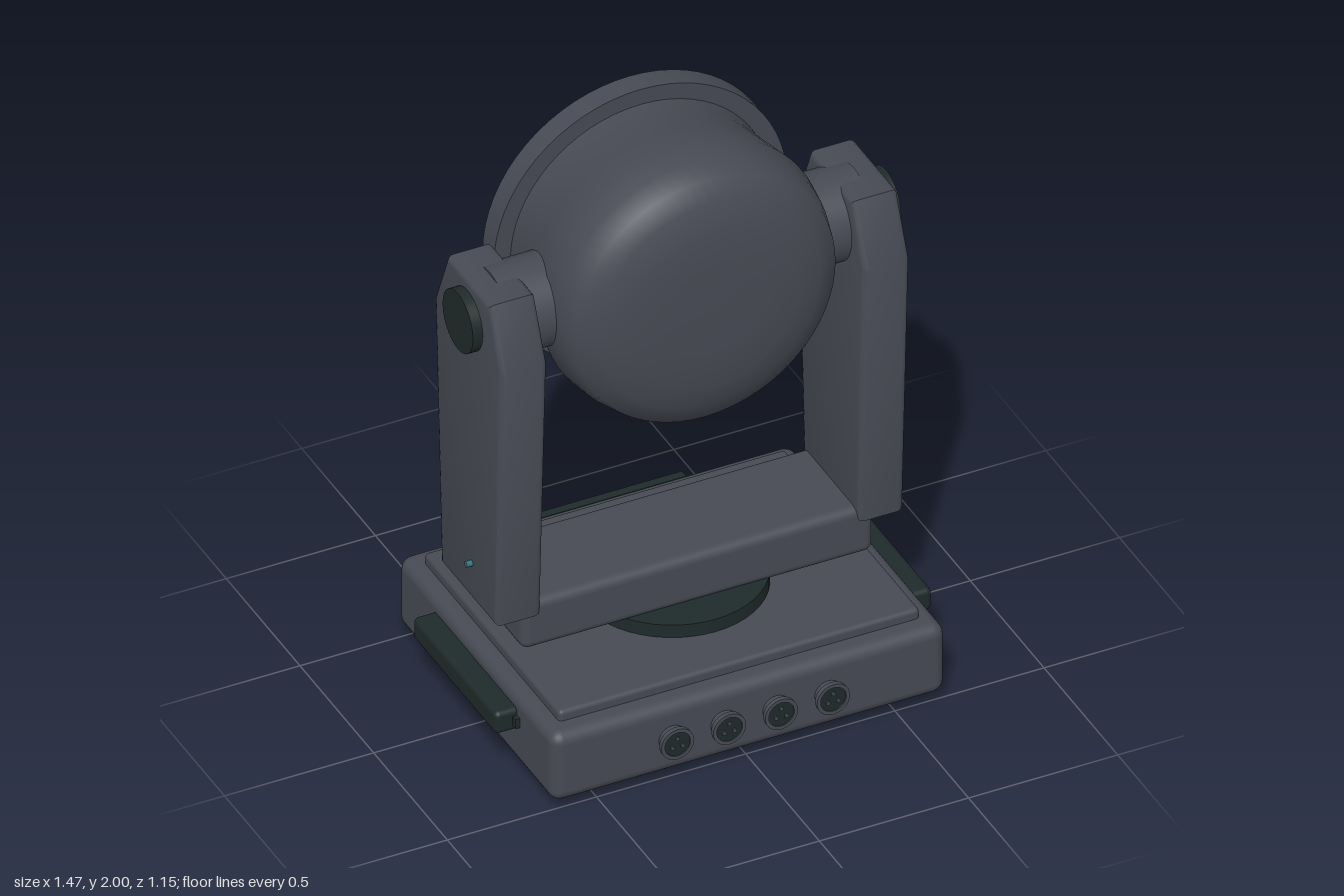
import * as THREE from 'three';
import { toCreasedNormals } from 'three/addons/utils/BufferGeometryUtils.js';
import { RoundedBoxGeometry } from 'three/addons/geometries/RoundedBoxGeometry.js';

const mat = (name, color) => {
  const m = new THREE.MeshStandardMaterial({ color });
  m.name = name;
  return m;
};

export function createModel() {
  const grey = mat('housing grey', 0x474a54);
  const faceGrey = mat('lamp face grey', 0x3b3c41);
  const black = mat('dark rubber', 0x1f2a2a);
  const teal = mat('lens teal', 0x33727f);

  const root = new THREE.Group();
  root.name = 'movingHeadLight';

  const add = (name, geo, material, x = 0, y = 0, z = 0, parent = root) => {
    const m = new THREE.Mesh(geo, material);
    m.name = name;
    m.position.set(x, y, z);
    parent.add(m);
    return m;
  };
  const rbox = (w, h, d, r) => new RoundedBoxGeometry(w, h, d, 3, r);
  const cyl = (r, h, seg = 32, r2 = r) => new THREE.CylinderGeometry(r, r2, h, seg);
  // discs and drums facing along x or z
  const cylX = (r, h, seg) => cyl(r, h, seg).rotateZ(Math.PI / 2);
  const cylZ = (r, h, seg, r2) => cyl(r, h, seg, r2).rotateX(Math.PI / 2);
  // turned profile about the z axis, points given as [radius, z]
  const latheZ = (pts, seg = 64) =>
    new THREE.LatheGeometry(pts.map(p => new THREE.Vector2(...p)), seg).rotateX(Math.PI / 2);

  // Base with raised top plate and feet
  add('base', rbox(1.32, 0.25, 1.06, 0.04), grey, 0, 0.16, 0);
  add('baseTopPlate', rbox(1.21, 0.07, 0.92, 0.015), grey, 0, 0.285, 0);
  for (const x of [-0.5, 0.5]) for (const z of [-0.37, 0.37])
    add('foot', cyl(0.062, 0.04, 24), black, x, 0.02, z);

  // Front sockets, each with three pins
  for (let i = 0; i < 4; i++) {
    const socket = new THREE.Group();
    socket.name = 'socket';
    socket.position.set(-0.261 + i * 0.174, 0.162, 0);
    root.add(socket);
    add('socketBarrel', cylZ(0.045, 0.04, 24), grey, 0, 0, 0.54, socket);
    const rim = latheZ([[0.04, 0.553], [0.055, 0.553], [0.055, 0.568], [0.043, 0.568], [0.043, 0.558]], 28);
    add('socketRim', toCreasedNormals(rim, 0.6), grey, 0, 0, 0, socket);
    add('socketInsert', cylZ(0.043, 0.004, 24), black, 0, 0, 0.562, socket);
    for (let k = 0; k < 3; k++) {
      const a = Math.PI / 2 + k * Math.PI * 2 / 3;
      add('socketPin', cylZ(0.007, 0.006, 8), grey, 0.02 * Math.cos(a), 0.02 * Math.sin(a), 0.566, socket);
    }
  }

  // Rear control panel with screen and buttons
  add('controlPanel', new THREE.BoxGeometry(0.62, 0.195, 0.03), black, 0, 0.168, -0.545);
  add('screen', new THREE.BoxGeometry(0.26, 0.125, 0.018), teal, -0.1, 0.168, -0.567);
  for (let i = 0; i < 4; i++)
    add('button', cylZ(0.017, 0.02, 16), grey, 0.086 + i * 0.049, 0.168, -0.567);

  // Turntable and yoke crossbar
  add('turntable', cyl(0.295, 0.05, 48), black, 0, 0.341, 0);
  add('yokeCrossbar', rbox(1.18, 0.175, 0.36, 0.03), grey, 0, 0.443, 0);

  // Yoke arm side profile, widening upward with a chamfered top
  const arm = new THREE.Shape([
    [-0.188, 0.485], [0.188, 0.485], [0.231, 1.44], [0.145, 1.645], [-0.145, 1.645], [-0.231, 1.44],
  ].map(p => new THREE.Vector2(...p)));
  const bevel = 0.02;
  const armGeo = toCreasedNormals(new THREE.ExtrudeGeometry(arm, {
    depth: 0.155 - 2 * bevel, bevelEnabled: true, bevelThickness: bevel,
    bevelSize: bevel, bevelOffset: -bevel, bevelSegments: 3,
  }).translate(0, 0, bevel).rotateY(Math.PI / 2), 0.6);

  for (const s of [-1, 1]) {
    const side = s > 0 ? 'left' : 'right';
    add(side + 'YokeArm', armGeo, grey, s > 0 ? 0.53 : -0.685, 0, 0);
    add(side + 'PivotHub', cylX(0.147, 0.23, 40), grey, s * 0.495, 1.506, 0);
    add(side + 'PivotCap', cylX(0.103, 0.04, 40), black, s * 0.698, 1.508, 0);
    add(side + 'Indicator', cylX(0.01, 0.025, 12), teal, s * 0.692, 0.62, 0.027);
    add(side + 'Handle', rbox(0.085, 0.08, 0.565, 0.018), black, s * 0.69, 0.2, 0.003);
    add(side + 'HandleTab', new THREE.BoxGeometry(0.03, 0.034, 0.03), black, s * 0.66, 0.198, 0.29);
  }

  // Lamp head
  const head = new THREE.Group();
  head.name = 'lampHead';
  head.position.y = 1.508;
  root.add(head);
  add('headShell', latheZ([
    [0.437, -0.22], [0.434, -0.15], [0.452, -0.04], [0.472, 0.07], [0.46, 0.15],
    [0.437, 0.225], [0.37, 0.258], [0.28, 0.288], [0.15, 0.293], [0, 0.295],
  ]), grey, 0, 0, 0, head);
  add('headRing', toCreasedNormals(latheZ([
    [0.42, -0.29], [0.42, -0.303], [0.442, -0.303], [0.442, -0.29],
    [0.492, -0.29], [0.492, -0.213], [0.43, -0.213],
  ]), 0.6), grey, 0, 0, 0, head);
  add('lampFace', cylZ(0.425, 0.02, 64), faceGrey, 0, 0, -0.285, head);

  // Twelve lenses: an inner three and an outer nine
  const lensRing = (count, radius, start) => {
    for (let i = 0; i < count; i++) {
      const a = start + i * Math.PI * 2 / count;
      const x = radius * Math.cos(a), y = radius * Math.sin(a);
      add('lensBezel', cylZ(0.105, 0.012, 32), black, x, y, -0.346, head);
      add('lens', cylZ(0.098, 0.024, 32, 0.094), teal, x, y, -0.363, head);
      add('lensCentre', cylZ(0.019, 0.014, 16), teal, x, y, -0.38, head);
    }
  };
  lensRing(3, 0.125, -Math.PI / 2);
  lensRing(9, 0.31, -Math.PI / 2);

  return root;
}
